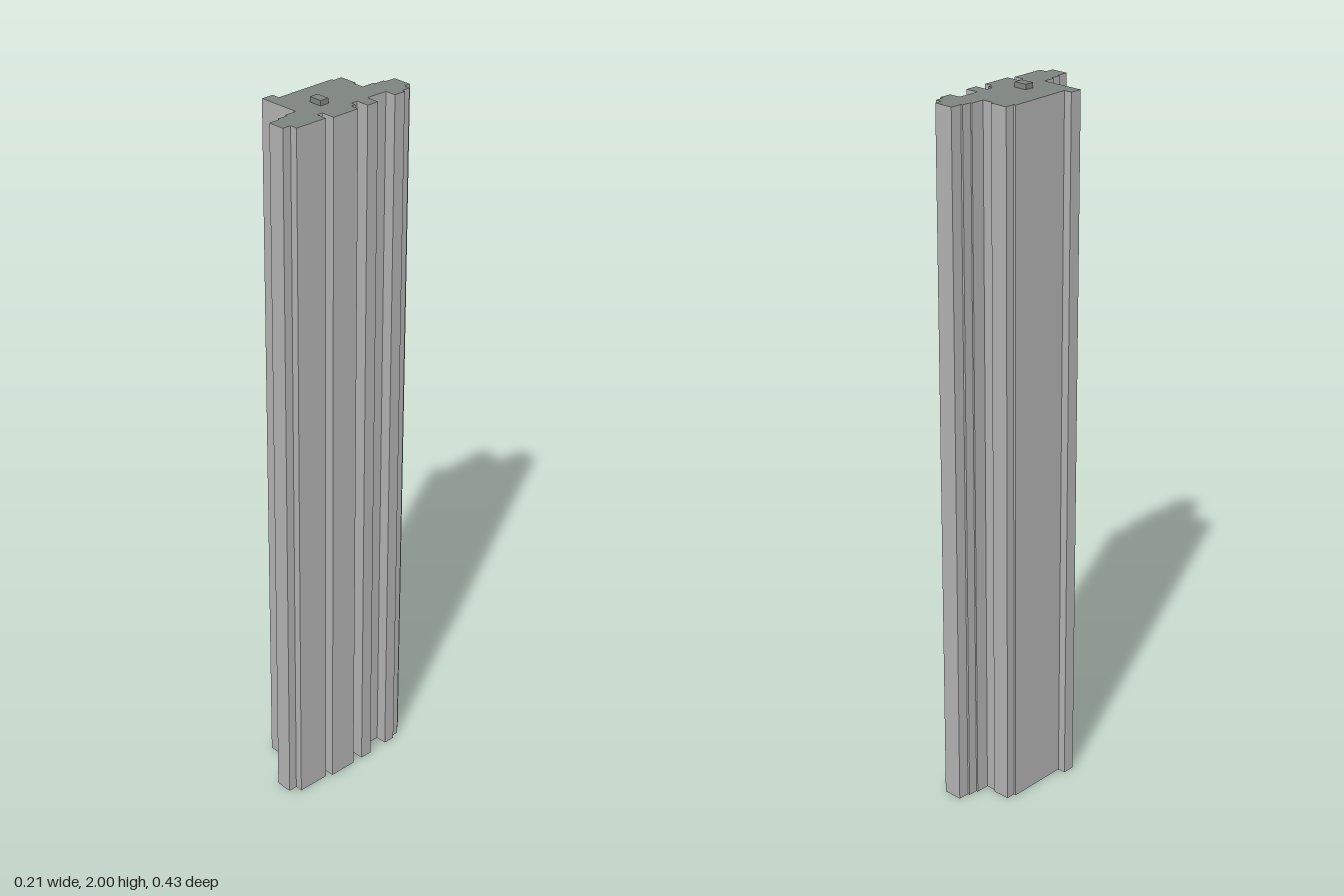
import * as THREE from 'three';

const ROOF_Y = 1.986;

// Stepped floor plan as [x, z], starting at the back and running towards +x
const PLAN = [
  [0.015, -0.216], [0.07, -0.216], [0.07, -0.196], [0.088, -0.196], [0.089, -0.17], [0.098, -0.17],
  [0.098, -0.136], [0.066, -0.136], [0.066, -0.073], [0.103, -0.073], [0.103, -0.038], [0.066, -0.038],
  [0.066, -0.019], [0.08, -0.019], [0.08, -0.005], [0.104, -0.005], [0.105, 0.078], [0.066, 0.078],
  [0.066, 0.095], [0.096, 0.095], [0.096, 0.19], [0.075, 0.19], [0.075, 0.215], [0.027, 0.215],
  [0.026, 0.182], [0.021, 0.182], [0.021, 0.152], [0.014, 0.152], [0.014, 0.118], [-0.107, 0.12],
  [-0.107, 0.085], [-0.084, 0.085], [-0.087, -0.096], [-0.08, -0.096], [-0.081, -0.123], [-0.03, -0.123],
  [-0.03, -0.117], [0.003, -0.117], [0.003, -0.156], [0.008, -0.156], [0.008, -0.184], [0.014, -0.184],
];

// One upright, flat-shaded quad for each edge of the plan
function wallGeometry(plan, height) {
  const positions = [];
  plan.forEach(([ax, az], i) => {
    const [bx, bz] = plan[(i + 1) % plan.length];
    positions.push(bx, 0, bz, ax, 0, az, ax, height, az);
    positions.push(bx, 0, bz, ax, height, az, bx, height, bz);
  });
  const geometry = new THREE.BufferGeometry();
  geometry.setAttribute('position', new THREE.Float32BufferAttribute(positions, 3));
  geometry.computeVertexNormals();
  return geometry;
}

export function createModel() {
  const wallGrey = new THREE.MeshStandardMaterial({ color: 0xb2b2b2, side: THREE.DoubleSide });
  wallGrey.name = 'wall grey';
  const roofGrey = new THREE.MeshStandardMaterial({ color: 0x7d8480, side: THREE.DoubleSide });
  roofGrey.name = 'roof grey';

  const group = new THREE.Group();
  group.name = 'tower';
  const add = (name, geometry, material) => {
    const mesh = new THREE.Mesh(geometry, material);
    mesh.name = name;
    group.add(mesh);
    return mesh;
  };

  // Tower walls, open underneath
  add('walls', wallGeometry(PLAN, ROOF_Y), wallGrey);

  // Flat roof over the plan
  const outline = new THREE.Shape(PLAN.map(([x, z]) => new THREE.Vector2(x, -z)));
  const roof = new THREE.ShapeGeometry(outline).rotateX(-Math.PI / 2);
  add('roof', roof, roofGrey).position.y = ROOF_Y;

  // Small plant room on the roof
  const height = 2 - ROOF_Y;
  add('roofHousing', new THREE.BoxGeometry(0.038, height, 0.026), roofGrey)
    .position.set(0.01, ROOF_Y + height / 2, 0.037);

  return group;
}
